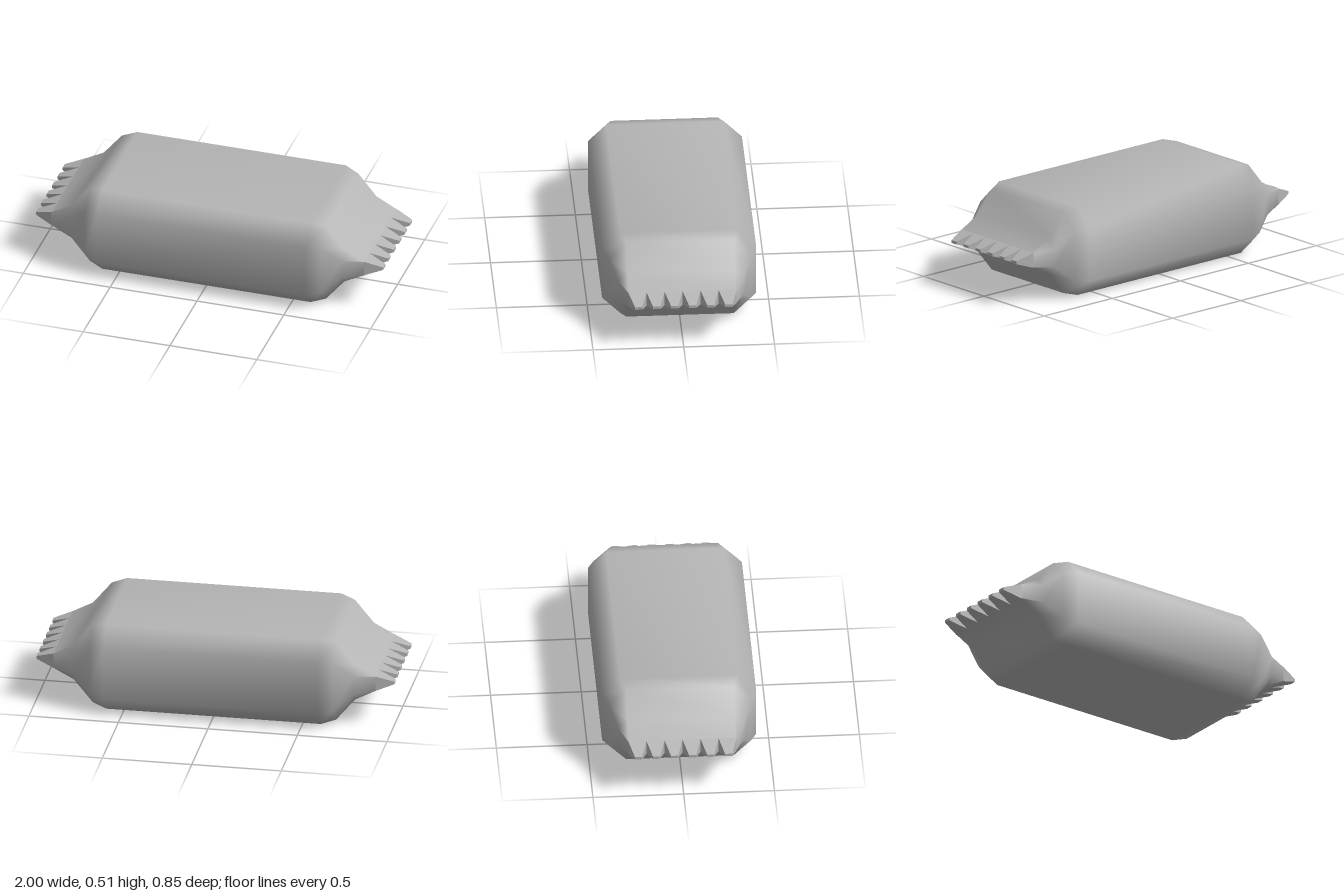
import * as THREE from 'three';

const MID_Y = 0.256;
const HALF_SEAL = 0.298;
const TEETH = 6;

// Half of the length profile: [x, half depth, half height, corner cut in z, corner cut in y]
const PROFILE = [
  [0.6, 0.424, 0.253, 0.1, 0.1],
  [0.68, 0.391, 0.232, 0.095, 0.095],
  [0.785, 0.346, 0.104, 0.05, 0.05],
  [0.9, HALF_SEAL, 0.043, 0.002, 0.004],
];

// Smooth pillow-shaped wrapper lofted from eight-sided sections
function bodyGeometry() {
  const left = PROFILE.map(([x, ...rest]) => [-x, ...rest]).reverse();
  const sections = [...left, ...PROFILE];
  const position = [];
  const index = [];
  for (const [x, d, h, cz, cy] of sections) {
    const ring = [
      [d, -h + cy], [d, h - cy], [d - cz, h], [-d + cz, h],
      [-d, h - cy], [-d, -h + cy], [-d + cz, -h], [d - cz, -h],
    ];
    for (const [z, y] of ring) position.push(x, MID_Y + y, z);
  }
  for (let i = 0; i < sections.length - 1; i++) {
    for (let j = 0; j < 8; j++) {
      const k = (j + 1) % 8;
      const a = i * 8 + j, b = a + 8, c = (i + 1) * 8 + k, d = i * 8 + k;
      index.push(a, b, c, a, c, d);
    }
  }
  const geometry = new THREE.BufferGeometry();
  geometry.setAttribute('position', new THREE.Float32BufferAttribute(position, 3));
  geometry.setIndex(index);
  geometry.computeVertexNormals();
  return geometry;
}

// Box tapered to a small blunt tip at +x
function toothGeometry() {
  const geometry = new THREE.BoxGeometry(0.1, 0.086, (2 * HALF_SEAL) / TEETH);
  const p = geometry.attributes.position;
  for (let i = 0; i < p.count; i++) {
    if (p.getX(i) > 0) {
      p.setY(i, Math.sign(p.getY(i)) * 0.008);
      p.setZ(i, Math.sign(p.getZ(i)) * 0.02);
    }
  }
  geometry.computeVertexNormals();
  return geometry;
}

export function createModel() {
  const model = new THREE.Group();
  model.name = 'wrappedBar';
  const foil = new THREE.MeshStandardMaterial({ color: 0xb4b4b4 });
  foil.name = 'grey foil';

  const body = new THREE.Mesh(bodyGeometry(), foil);
  body.name = 'wrapperBody';
  model.add(body);

  // Zigzag seal at each end
  const tooth = toothGeometry();
  for (const side of [1, -1]) {
    const seal = new THREE.Group();
    seal.name = side > 0 ? 'leftSeal' : 'rightSeal';
    seal.rotation.y = side > 0 ? 0 : Math.PI;
    for (let i = 0; i < TEETH; i++) {
      const mesh = new THREE.Mesh(tooth, foil);
      mesh.name = 'sealTooth';
      mesh.position.set(0.95, MID_Y, -HALF_SEAL + ((i + 0.5) * 2 * HALF_SEAL) / TEETH);
      seal.add(mesh);
    }
    model.add(seal);
  }
  return model;
}
